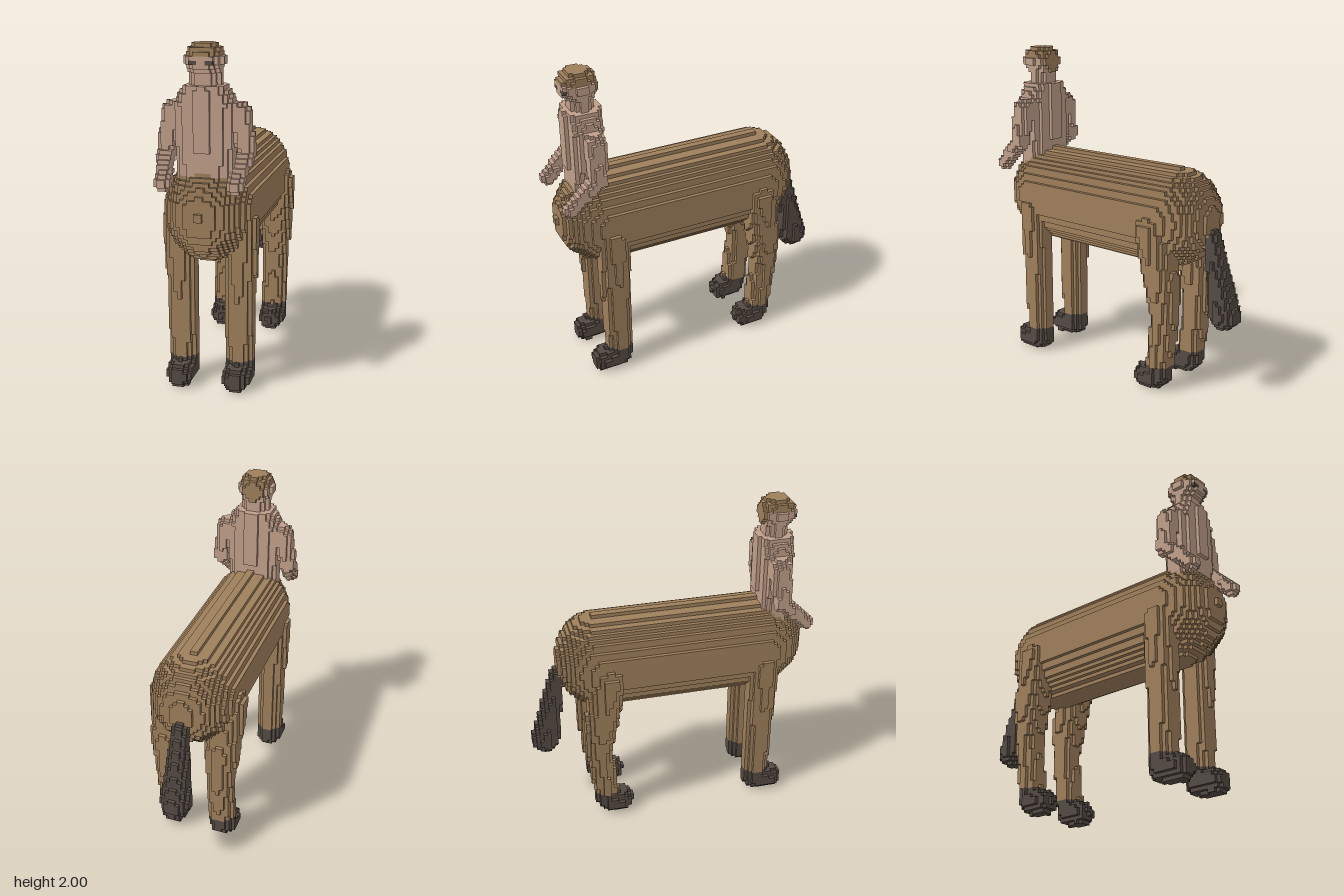
import * as THREE from 'three';

const V = 2 / 88;             // size of one block
const NX = 13, NY = 88, NZ = 77;

const materials = {};
for (const [name, color] of [['brownCoat', 0x9e7f5b], ['skin', 0xc09f8a], ['darkHoof', 0x544a43]]) {
  materials[name] = new THREE.MeshStandardMaterial({ color });
  materials[name].name = name;
}

// Solid tests: each returns true when a point lies inside
const ellipsoid = (cx, cy, cz, rx, ry, rz) => (x, y, z) =>
  ((x - cx) / rx) ** 2 + ((y - cy) / ry) ** 2 + ((z - cz) / rz) ** 2 <= 1;

const limb = (a, ra, b, rb) => {
  const d = b.map((v, i) => v - a[i]);
  const len2 = d[0] ** 2 + d[1] ** 2 + d[2] ** 2;
  return (x, y, z) => {
    const p = [x - a[0], y - a[1], z - a[2]];
    const dot = p[0] * d[0] + p[1] * d[1] + p[2] * d[2];
    const t = Math.min(1, Math.max(0, dot / len2));
    const r = ra + (rb - ra) * t;
    return (p[0] - d[0] * t) ** 2 + (p[1] - d[1] * t) ** 2 + (p[2] - d[2] * t) ** 2 <= r * r;
  };
};

const any = (...tests) => (x, y, z) => tests.some((t) => t(x, y, z));
const both = (a, b) => (x, y, z) => a(x, y, z) && b(x, y, z);

// Barrel with rounded chest and rump
const body = (x, y, z) => {
  const dz = z > 0.57 ? (z - 0.57) / 0.295 : z < -0.43 ? (z + 0.43) / 0.265 : 0;
  return (x / 0.254) ** 2 + ((y - 1.06) / 0.294) ** 2 + dz * dz <= 1;
};

// Upper body: straight trunk with sloping shoulders, then the neck
const torso = (x, y, z) => {
  if (y < 1.15 || y > 1.77) return false;
  const w = y < 1.66 ? 0.165 + 0.01 * (y - 1.2) : 0.185 - (y - 1.66) * 0.65;
  const d = y < 1.4 ? 0.095 : 0.105;
  return Math.abs(x / w) ** 2.3 + Math.abs((z - 0.67) / d) ** 2.3 <= 1;
};
const neck = (x, y, z) => y > 1.74 && y < 1.86 && (x / 0.09) ** 2 + ((z - 0.67) / 0.068) ** 2 <= 1;

const skull = ellipsoid(0, 1.91, 0.68, 0.108, 0.1, 0.112);

const foreLeg = limb([0.18, 0.98, 0.582], 0.093, [0.167, 0.1, 0.57], 0.075);
const hindLeg = any(
  limb([0.19, 1.01, -0.4], 0.104, [0.175, 0.7, -0.455], 0.102),
  limb([0.175, 0.7, -0.455], 0.102, [0.165, 0.47, -0.475], 0.078),
  limb([0.165, 0.47, -0.475], 0.078, [0.165, 0.1, -0.43], 0.075),
);
const low = (x, y) => y < 0.16;

// Parts in order of priority; x is mirrored, so paired parts are given for +x only
const parts = [
  { name: 'eye', mat: 'darkHoof', pair: true, test: (x, y, z) => x > 0.023 && x < 0.068 && y > 1.887 && y < 1.909 && z > 0.73 && z < 0.785 },
  { name: 'hair', mat: 'brownCoat', test: both(skull, (x, y, z) => y > 1.935 || z < 0.61) },
  { name: 'head', mat: 'skin', test: skull },
  {
    name: 'arm', mat: 'skin', pair: true, test: any(
      limb([0.19, 1.615, 0.66], 0.062, [0.227, 1.41, 0.665], 0.047),
      limb([0.227, 1.41, 0.665], 0.047, [0.203, 1.25, 0.835], 0.04),
    ),
  },
  { name: 'horseBody', mat: 'brownCoat', test: body },
  { name: 'torso', mat: 'skin', test: torso },
  { name: 'neck', mat: 'skin', test: neck },
  { name: 'frontHoof', mat: 'darkHoof', pair: true, test: both(low, any(foreLeg, limb([0.167, 0.09, 0.57], 0.08, [0.167, 0.07, 0.672], 0.074))) },
  { name: 'hindHoof', mat: 'darkHoof', pair: true, test: both(low, any(hindLeg, limb([0.167, 0.09, -0.42], 0.08, [0.167, 0.07, -0.343], 0.074))) },
  { name: 'frontLeg', mat: 'brownCoat', pair: true, test: foreLeg },
  { name: 'hindLeg', mat: 'brownCoat', pair: true, test: hindLeg },
  { name: 'tail', mat: 'darkHoof', test: limb([0, 1.0, -0.685], 0.04, [0, 0.52, -0.79], 0.088) },
];

export function createModel() {
  // Fill the block grid for one half; 0 is empty
  const grid = new Uint8Array(NX * NY * NZ);
  for (let k = 0; k < NZ; k++) {
    for (let j = 0; j < NY; j++) {
      for (let i = 0; i < NX; i++) {
        const x = (i + 0.5) * V, y = (j + 0.5) * V, z = (k + 0.5 - NZ / 2) * V;
        grid[(k * NY + j) * NX + i] = parts.findIndex((p) => p.test(x, y, z)) + 1;
      }
    }
  }
  const cell = (i, j, k) => {
    const m = i < 0 ? -1 - i : i;
    return m >= NX || j < 0 || j >= NY || k < 0 || k >= NZ ? 0 : grid[(k * NY + j) * NX + m];
  };

  // Collect the outer faces of every block, part by part
  const bins = new Map();
  for (let k = 0; k < NZ; k++) {
    for (let j = 0; j < NY; j++) {
      for (let i = -NX; i < NX; i++) {
        const id = cell(i, j, k);
        if (!id) continue;
        const part = parts[id - 1];
        const name = part.pair ? (i < 0 ? 'right ' : 'left ') + part.name : part.name;
        if (!bins.has(name)) bins.set(name, { mat: part.mat, pos: [], nor: [] });
        const bin = bins.get(name);
        const centre = [i + 0.5, j + 0.5, k + 0.5 - NZ / 2];
        for (let axis = 0; axis < 3; axis++) {
          for (const s of [-1, 1]) {
            const n = [0, 0, 0];
            n[axis] = s;
            if (cell(i + n[0], j + n[1], k + n[2])) continue;
            const corner = (u, v) => {
              const p = [...centre];
              p[axis] += s / 2;
              p[(axis + 1) % 3] += (u * s) / 2;
              p[(axis + 2) % 3] += v / 2;
              return p.map((c) => c * V);
            };
            const [a, b, c, d] = [corner(-1, -1), corner(1, -1), corner(1, 1), corner(-1, 1)];
            for (const p of [a, b, c, a, c, d]) {
              bin.pos.push(...p);
              bin.nor.push(...n);
            }
          }
        }
      }
    }
  }

  const group = new THREE.Group();
  group.name = 'centaur';
  for (const [name, { mat, pos, nor }] of bins) {
    const geo = new THREE.BufferGeometry();
    geo.setAttribute('position', new THREE.Float32BufferAttribute(pos, 3));
    geo.setAttribute('normal', new THREE.Float32BufferAttribute(nor, 3));
    const mesh = new THREE.Mesh(geo, materials[mat]);
    mesh.name = name;
    group.add(mesh);
  }
  return group;
}
